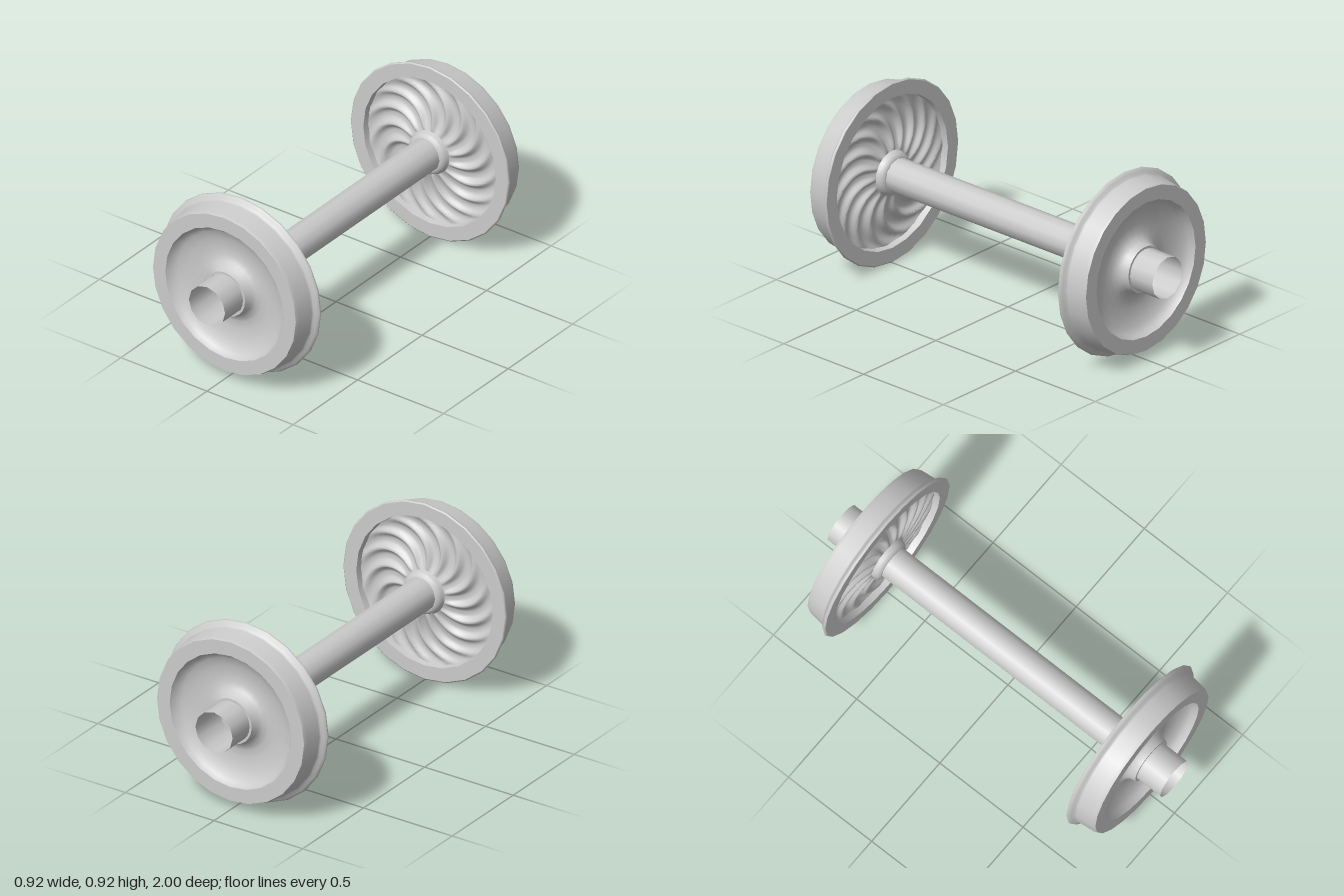
import * as THREE from 'three';
import { mergeVertices } from 'three/addons/utils/BufferGeometryUtils.js';

const R = 0.461;
const grey = new THREE.MeshStandardMaterial({ color: 0xcccccc, side: THREE.DoubleSide });

// Turned part around the z axis; points are [radius, z]
function turned(name, points, sides) {
  const geo = new THREE.LatheGeometry(points.map(([r, z]) => new THREE.Vector2(r, z)), sides);
  geo.rotateX(Math.PI / 2);
  const mesh = new THREE.Mesh(geo, grey);
  mesh.name = name;
  return mesh;
}

// Inner web: a shallow dish with swept ribs raised out of it
function ribbedWeb() {
  const ribs = 15, inner = 0.112, outer = 0.385, rings = 18;
  const profile = [];
  for (let i = 0; i <= rings; i++) {
    const t = i / rings;
    const hubRise = 0.045 * Math.pow(1 - t, 3);
    const rimRise = 0.018 * Math.pow(t, 8);
    profile.push(new THREE.Vector2(inner + (outer - inner) * t, 0.773 - hubRise - rimRise));
  }
  let geo = new THREE.LatheGeometry(profile, ribs * 10);
  geo.rotateX(Math.PI / 2);
  const p = geo.attributes.position;
  for (let i = 0; i < p.count; i++) {
    const x = p.getX(i), y = p.getY(i);
    const t = (Math.hypot(x, y) - inner) / (outer - inner);
    const sweep = 0.75 * t * t;
    const wave = 0.5 + 0.5 * Math.cos(ribs * (Math.atan2(y, x) + sweep));
    const fade = Math.pow(Math.max(0, Math.sin(Math.PI * Math.min(1, Math.max(0, t)))), 0.6);
    p.setZ(i, p.getZ(i) - 0.026 * fade * Math.pow(wave, 2.2));
  }
  geo.deleteAttribute('uv');
  geo.deleteAttribute('normal');
  geo = mergeVertices(geo, 1e-5);
  geo.computeVertexNormals();
  const mesh = new THREE.Mesh(geo, grey);
  mesh.name = 'ribbedWeb';
  return mesh;
}

function wheel() {
  const g = new THREE.Group();
  g.add(
    ribbedWeb(),
    turned('rimInnerWall', [[0.378, 0.775], [0.385, 0.725]], 24),
    turned('rimBackFace', [[0.385, 0.725], [0.455, 0.725]], 24),
    // flange running into the tapered tread
    turned('flangeAndTread', [[0.455, 0.725], [R, 0.73], [0.459, 0.738], [0.449, 0.747],
      [0.436, 0.754], [0.43, 0.763], [0.421, 0.848], [0.415, 0.865]], 24),
    turned('rimFrontFace', [[0.415, 0.865], [0.343, 0.865]], 24),
    // smooth outer dish rising to the hub
    turned('outerDish', [[0.343, 0.865], [0.33, 0.838], [0.305, 0.818], [0.26, 0.803], [0.21, 0.796],
      [0.17, 0.798], [0.143, 0.808], [0.125, 0.828], [0.116, 0.86]], 24),
    turned('hubFace', [[0.116, 0.86], [0.104, 0.86]], 24),
    // collar on the inner side of the hub
    turned('hubCollar', [[0.082, 0.69], [0.092, 0.691], [0.103, 0.702], [0.107, 0.712], [0.113, 0.73]], 24),
    // open journal stub and the ring closing it onto the axle bore
    turned('axleStub', [[0.105, 0.8], [0.105, 1]], 12),
    turned('stubSeat', [[0.084, 0.8], [0.105, 0.8]], 12),
  );
  return g;
}

export function createModel() {
  const model = new THREE.Group();
  const front = wheel();
  front.name = 'frontWheel';
  const back = wheel();
  back.name = 'backWheel';
  back.rotation.y = Math.PI;
  model.add(front, back, turned('axle', [[0.084, -0.8], [0.084, 0.8]], 12));
  model.children.forEach((part) => { part.position.y = R; });
  return model;
}
